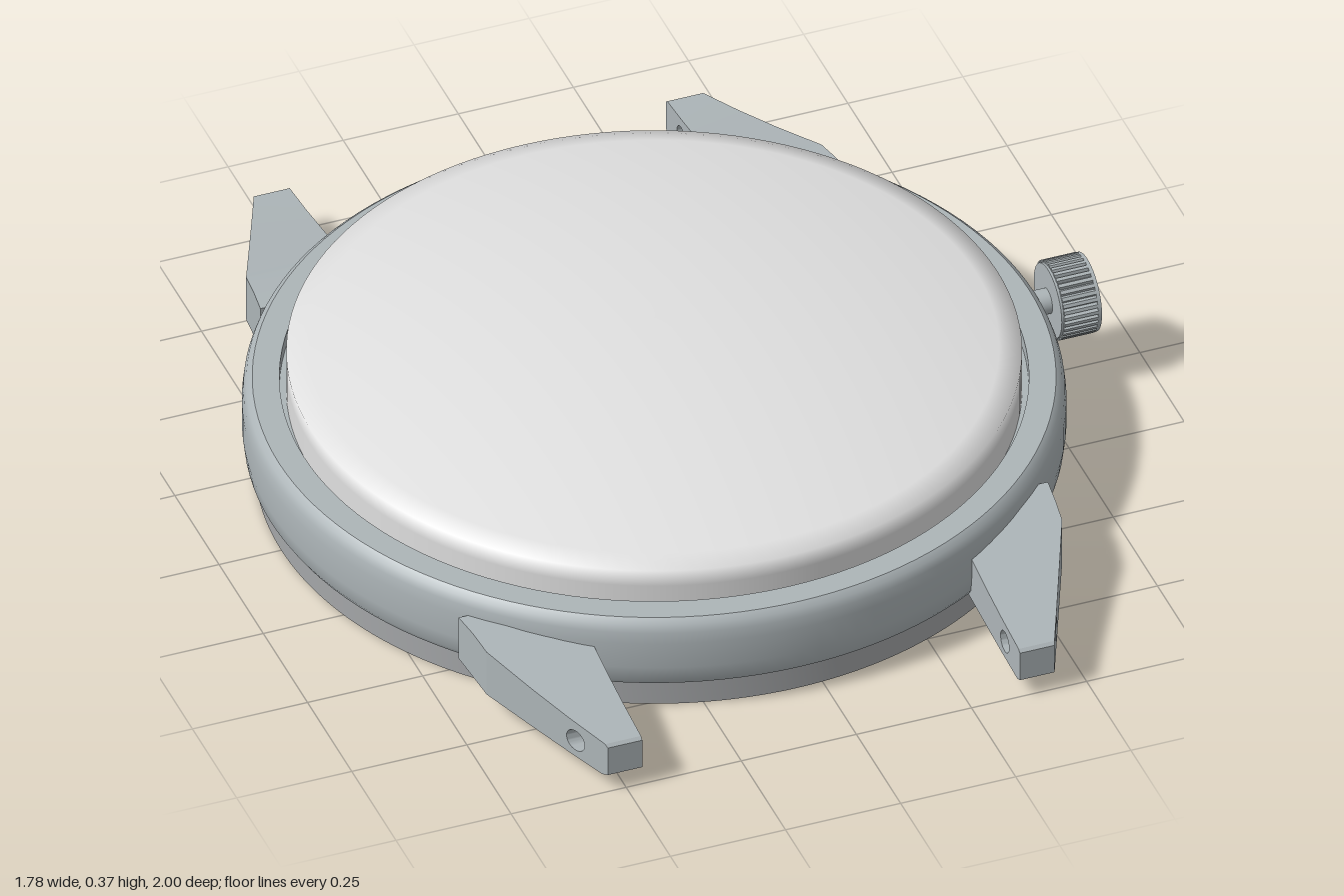
import * as THREE from 'three';
import { toCreasedNormals } from 'three/addons/utils/BufferGeometryUtils.js';

const CX = -0.055; // axis of the round case

export function createModel() {
  const model = new THREE.Group();
  model.name = 'watchHead';
  const steel = new THREE.MeshStandardMaterial({ name: 'steel', color: 0xadb5b8 });
  const glass = new THREE.MeshStandardMaterial({ name: 'paleGlass', color: 0xe0e0e0 });
  const backSteel = new THREE.MeshStandardMaterial({ name: 'backSteel', color: 0xa4a6a8 });

  const add = (name, geometry, material, x = CX, y = 0, z = 0) => {
    const mesh = new THREE.Mesh(geometry, material);
    mesh.name = name;
    mesh.position.set(x, y, z);
    model.add(mesh);
    return mesh;
  };
  const lathe = (pts) => new THREE.LatheGeometry(pts.map(([r, y]) => new THREE.Vector2(r, y)), 128);

  // Case ring with rounded flank, flat bezel and a narrow groove around the crystal
  add('caseRing', toCreasedNormals(lathe([
    [0.74, 0.058], [0.812, 0.058], [0.824, 0.063], [0.832, 0.076], [0.836, 0.11], [0.836, 0.17],
    [0.833, 0.195], [0.827, 0.212], [0.815, 0.222], [0.76, 0.222], [0.76, 0.19], [0.735, 0.19],
  ]), 0.6), steel);

  // Domed crystal: straight wall, then a shallow spherical cap
  const crystal = [[0.746, 0.19], [0.746, 0.25], [0.746, 0.288]];
  const capR = (0.746 ** 2 + 0.083 ** 2) / (2 * 0.083);
  for (let i = 1; i <= 16; i++) {
    const r = 0.746 * (1 - i / 16);
    crystal.push([r, 0.371 - capR + Math.sqrt(capR * capR - r * r)]);
  }
  add('crystal', lathe(crystal), glass);

  // Case back with two blind key holes
  const disc = new THREE.Shape().absarc(0, 0, 0.81, 0, Math.PI * 2);
  for (const s of [-1, 1]) {
    disc.holes.push(new THREE.Path().absarc(s * 0.445, 0, 0.034, 0, Math.PI * 2, true));
  }
  const back = new THREE.ExtrudeGeometry(disc, { depth: 0.06, bevelEnabled: false, curveSegments: 96 });
  back.rotateX(-Math.PI / 2);
  add('caseBack', toCreasedNormals(back, 0.5), backSteel);
  for (const s of [-1, 1]) {
    add('keyHoleFloor', new THREE.CylinderGeometry(0.036, 0.036, 0.02, 32), backSteel, CX + s * 0.445, 0.035);
  }

  // Lugs: side profiles (z, y) extruded across, with the outer face tapered along z
  const INNER = 0.41;
  const outer = (z) => (z <= 0.68
    ? THREE.MathUtils.mapLinear(z, 0.56, 0.68, 0.64, 0.625)
    : THREE.MathUtils.mapLinear(z, 0.68, 1, 0.625, 0.485));
  const shapeOf = (pts) => new THREE.Shape(pts.map(([z, y]) => new THREE.Vector2(z, y)));
  const root = shapeOf([[0.56, 0.072], [0.68, 0.06], [0.68, 0.167], [0.62, 0.175], [0.56, 0.175]]);
  const tip = shapeOf([
    [0.68, 0.06], [0.8, 0.049], [0.9, 0.041], [0.985, 0.036], [1, 0.042],
    [1, 0.11], [0.993, 0.116], [0.9, 0.127], [0.8, 0.143], [0.68, 0.167],
  ]);
  tip.holes.push(new THREE.Path().absarc(0.915, 0.08, 0.024, 0, Math.PI * 2, true));

  const lugPart = (shape, sx, sz) => {
    const g = new THREE.ExtrudeGeometry(shape, { depth: 1, bevelEnabled: false, curveSegments: 24 });
    const p = g.attributes.position;
    for (let i = 0; i < p.count; i++) {
      const z = p.getX(i);
      p.setXYZ(i, sx * THREE.MathUtils.lerp(INNER, outer(z), p.getZ(i)), p.getY(i), sz * z);
    }
    // Restore outward winding where the mapping mirrors the part
    if (sx * sz > 0) {
      const a = new THREE.Vector3(), b = new THREE.Vector3();
      for (let i = 0; i < p.count; i += 3) {
        a.fromBufferAttribute(p, i + 1);
        b.fromBufferAttribute(p, i + 2);
        p.setXYZ(i + 1, b.x, b.y, b.z);
        p.setXYZ(i + 2, a.x, a.y, a.z);
      }
    }
    g.deleteAttribute('uv');
    return toCreasedNormals(g, 0.4);
  };
  for (const sx of [-1, 1]) {
    for (const sz of [-1, 1]) {
      const name = (sz > 0 ? 'front' : 'back') + (sx > 0 ? 'Left' : 'Right') + 'Lug';
      add(name + 'Root', lugPart(root, sx, sz), steel);
      add(name + 'Tip', lugPart(tip, sx, sz), steel);
    }
  }

  // Crown: stem, fluted grip and smooth end caps, all along x
  const rod = (name, r, x0, x1) => {
    const g = new THREE.CylinderGeometry(r, r, x1 - x0, 48);
    g.rotateZ(-Math.PI / 2);
    add(name, g, steel, (x0 + x1) / 2, 0.185);
  };
  rod('crownStem', 0.027, 0.76, 0.81);
  rod('crownInnerRim', 0.079, 0.8, 0.807);
  rod('crownEndCap', 0.083, 0.878, 0.886);

  const TEETH = 36;
  const flute = [];
  for (let i = 0; i < TEETH; i++) {
    [[0, 0.077], [0.25, 0.084], [0.75, 0.084], [0.99, 0.077]].forEach(([t, r]) => {
      const a = ((i + t) / TEETH) * Math.PI * 2;
      flute.push(new THREE.Vector2(Math.cos(a) * r, Math.sin(a) * r));
    });
  }
  const grip = new THREE.ExtrudeGeometry(new THREE.Shape(flute), { depth: 0.074, bevelEnabled: false });
  grip.rotateY(Math.PI / 2);
  add('crownGrip', grip, steel, 0.805, 0.185);

  return model;
}
